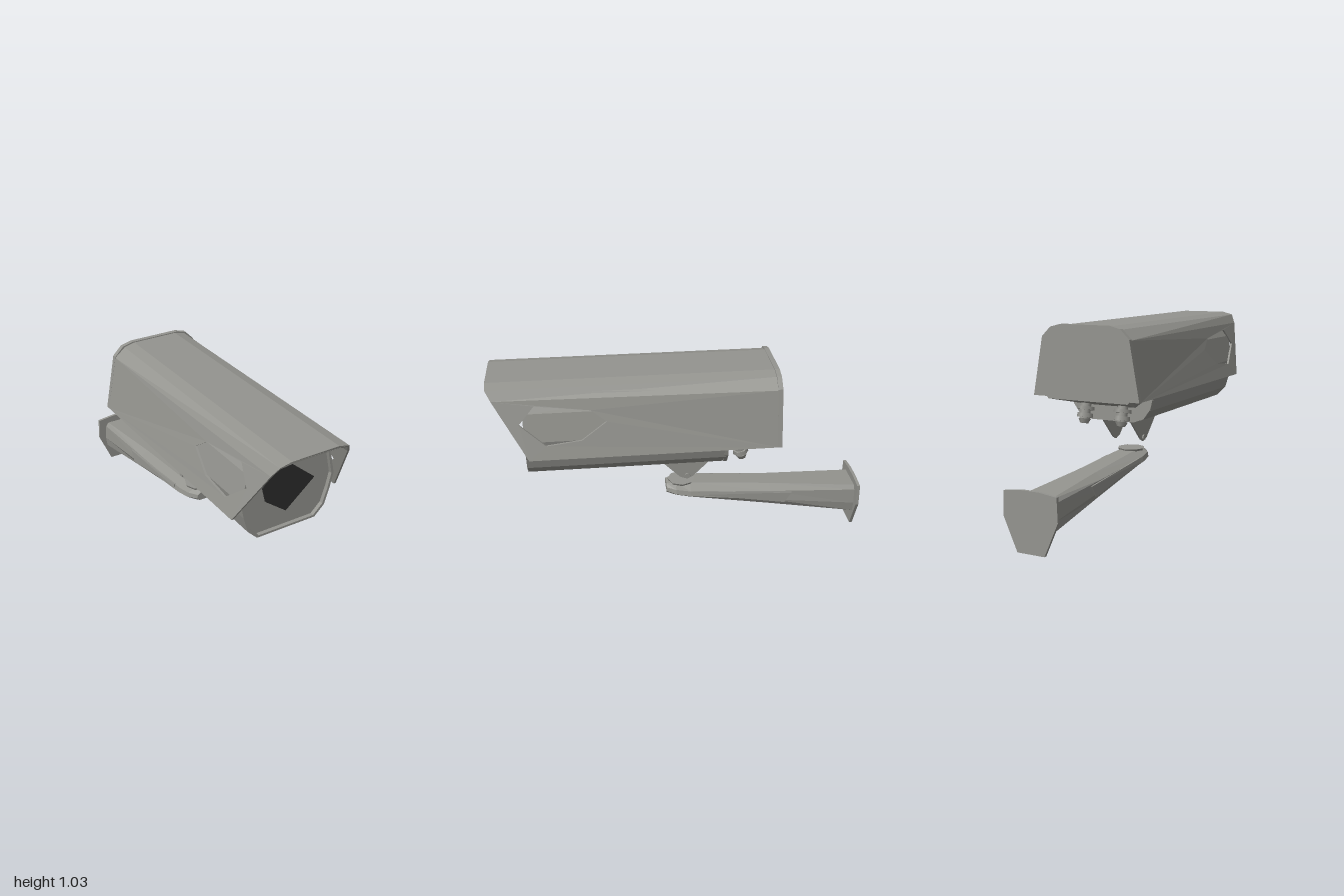
import * as THREE from 'three';

export function createModel() {
  const model = new THREE.Group();
  const casing = new THREE.MeshStandardMaterial({ color: 0x94948f, side: THREE.DoubleSide });
  casing.name = 'grey casing';
  const glass = new THREE.MeshStandardMaterial({ color: 0x2b2b2b, side: THREE.DoubleSide });
  glass.name = 'dark glass';

  const add = (name, geometry, material = casing, parent = model) => {
    const mesh = new THREE.Mesh(geometry, material);
    mesh.name = name;
    parent.add(mesh);
    return mesh;
  };
  const points = (pts) => pts.map(([x, y]) => new THREE.Vector2(x, y));
  const shapeOf = (pts) => new THREE.Shape(points(pts));
  const prism = (shape, z0, z1) =>
    new THREE.ExtrudeGeometry(shape, { depth: z1 - z0, bevelEnabled: false }).translate(0, 0, z0);
  // Complete a half outline (x >= 0) by mirroring it.
  const mirrored = (half) => [...half, ...half.slice().reverse().map(([x, y]) => [-x, y])];
  // Move every vertex by a rule.
  function reshape(g, rule) {
    const p = g.attributes.position;
    for (let i = 0; i < p.count; i++) p.setXYZ(i, ...rule(p.getX(i), p.getY(i), p.getZ(i)));
    g.computeVertexNormals();
    return g;
  }

  // Loft between rings of [x, y, z] points, with fan caps, flat faces.
  function loft(rings) {
    const pos = [];
    const tri = (...p) => p.forEach((v) => pos.push(...v));
    const n = rings[0].length;
    for (let r = 0; r < rings.length - 1; r++) {
      for (let i = 0; i < n; i++) {
        const j = (i + 1) % n, a = rings[r], b = rings[r + 1];
        tri(a[i], a[j], b[j]);
        tri(a[i], b[j], b[i]);
      }
    }
    const first = rings[0], last = rings[rings.length - 1];
    for (let i = 1; i < n - 1; i++) {
      tri(first[0], first[i + 1], first[i]);
      tri(last[0], last[i], last[i + 1]);
    }
    const g = new THREE.BufferGeometry();
    g.setAttribute('position', new THREE.Float32BufferAttribute(pos, 3));
    g.computeVertexNormals();
    return g;
  }

  // Sun shield roof: its front edge slopes forward and narrows at the corners
  const frontZ = (y) => 0.8 + 0.2 * Math.min(1, (y - 0.66) / 0.355);
  const pinch = 0.032;
  const roof = [...mirrored([[0.25, 0.96], [0.19, 1.01], [0.13, 1.025]]),
    ...mirrored([[0.239, 0.96], [0.184, 1.0], [0.126, 1.013]]).reverse()];
  add('shieldRoof', reshape(prism(shapeOf(roof), 0, 1), (x, y, z) => {
    if (z < 0.5) return [x, y, -0.48];
    return [y < 0.97 ? x - Math.sign(x) * pinch : x, y, frontZ(y)];
  }));

  // Rear cover closing the shield
  add('rearCover', prism(shapeOf(mirrored([[0.305, 0.66], [0.25, 0.965], [0.2, 1.015], [0.14, 1.03]])), -0.5, -0.475));

  // Main housing with a slim front rim around a recessed face
  const half = [[0.17, 0.52], [0.225, 0.575], [0.25, 0.66], [0.268, 0.745], [0.235, 0.89], [0.18, 0.985]];
  const section = mirrored(half);
  add('housing', prism(shapeOf(section), -0.22, 0.8));
  const rim = shapeOf(section);
  rim.holes.push(new THREE.Path(points(section.map(([x, y]) => [x * 0.95, 0.75 + (y - 0.75) * 0.95]))));
  add('frontRim', prism(rim, 0.8, 0.82));

  // Lens window
  const pane = [[-0.045, 0.92], [0.16, 0.75], [0, 0.61], [-0.12, 0.7], [-0.14, 0.78]];
  add('lensWindow', prism(shapeOf(pane), 0.8, 0.808), glass);

  // Rear housing with a rising underside
  const rearRing = (z, y, w) =>
    mirrored([[w, y], [0.25, 0.67], [0.265, 0.75], [0.18, 0.985]]).map(([x, v]) => [x, v, z]);
  add('rearHousing', loft([rearRing(-0.48, 0.645, 0.23), rearRing(-0.22, 0.585, 0.14)]));
  add('rearLip', prism(shapeOf(mirrored([[0.13, 0.508], [0.19, 0.53], [0.23, 0.585], [0.25, 0.67]])), -0.23, -0.21));

  // Shield walls, cable glands and mount cheeks, one per side
  for (const s of [1, -1]) {
    const side = s > 0 ? 'left' : 'right';

    // Wall drawn in (z, y) with an opening, then leaned inwards
    const wall = shapeOf([[0.8, 0.66], [frontZ(0.96), 0.96], [-0.48, 0.96], [-0.48, 0.66]]);
    wall.holes.push(new THREE.Path(points([
      [0.84, 0.84], [0.76, 0.93], [0.48, 0.9], [0.4, 0.84], [0.53, 0.75], [0.71, 0.73],
    ])));
    add(side + 'ShieldWall', reshape(prism(wall, 0, 0.011), (z, y, depth) => {
      const t = (y - 0.66) / 0.3;
      const x = 0.305 - 0.055 * t - pinch * t * (z + 0.48) / 1.45 - depth;
      return [s * x, y, z];
    }));

    const gland = new THREE.Group();
    gland.name = side + 'CableGland';
    gland.position.set(s * 0.11, 0.55, -0.315);
    gland.rotation.x = 0.23;
    model.add(gland);
    add('glandStem', new THREE.CylinderGeometry(0.028, 0.028, 0.1, 8).translate(0, 0.02, 0), casing, gland);
    add('glandCollar', new THREE.CylinderGeometry(0.046, 0.046, 0.018, 6).translate(0, 0.03, 0), casing, gland);
    add('glandNut', new THREE.CylinderGeometry(0.04, 0.042, 0.022, 6).translate(0, -0.008, 0), casing, gland);
    add('glandCap', new THREE.CylinderGeometry(0.034, 0.022, 0.024, 8).translate(0, -0.038, 0), casing, gland);

    const cheek = prism(shapeOf([
      [0.13, 0.52], [0.13, 0.505], [0.01, 0.385], [-0.03, 0.37], [-0.06, 0.385], [-0.18, 0.505], [-0.18, 0.52],
    ]), -0.004, 0.004);
    add(side + 'MountCheek', reshape(cheek, (z, y, x) => [x, y, z])).position.x = s * 0.084;
    const bolt = new THREE.CylinderGeometry(0.016, 0.016, 0.016, 6).rotateZ(Math.PI / 2);
    add(side + 'MountBolt', bolt).position.set(s * 0.088, 0.392, -0.03);
  }
  add('mountPlate', new THREE.BoxGeometry(0.18, 0.016, 0.31)).position.set(0, 0.512, -0.025);

  // Wall arm: narrow top, wide flanks and a blunt rounded nose
  const armRing = (z, w, topW, top, shoulder, low, bottomW) => mirrored([
    [bottomW, low], [w, low + (shoulder - low) * 0.4], [w * 0.94, shoulder], [topW, top],
  ]).map(([x, y]) => [x, y, z]);
  add('arm', loft([
    armRing(-0.985, 0.108, 0.085, 0.262, 0.24, 0.1, 0.1),
    armRing(-0.5, 0.104, 0.055, 0.29, 0.262, 0.175, 0.085),
    armRing(-0.05, 0.1, 0.045, 0.317, 0.288, 0.243, 0.075),
    armRing(0.03, 0.09, 0.04, 0.318, 0.298, 0.255, 0.065),
    armRing(0.08, 0.055, 0.03, 0.312, 0.298, 0.262, 0.04),
  ]));

  // Long raised panels on the arm flanks
  for (const s of [1, -1]) {
    const strip = [[-0.1, 0.268, 0.104], [-0.58, 0.19, 0.109], [-0.62, 0.25, 0.107], [-0.1, 0.288, 0.1]]
      .map(([z, y, x]) => [s * x, y, z]);
    const back = strip.map(([x, y, z]) => [x - s * 0.008, y, z]);
    add((s > 0 ? 'left' : 'right') + 'ArmPanel', loft(s > 0 ? [strip, back] : [back, strip]));
  }

  // Swivel disc on the arm's tip
  add('swivelDisc', new THREE.CylinderGeometry(0.076, 0.07, 0.012, 8)).position.set(0, 0.318, -0.005);

  // Wall plate
  add('wallPlate', prism(shapeOf(mirrored([[0.075, 0], [0.15, 0.17], [0.145, 0.29], [0.05, 0.302]])), -1, -0.984));

  return model;
}
